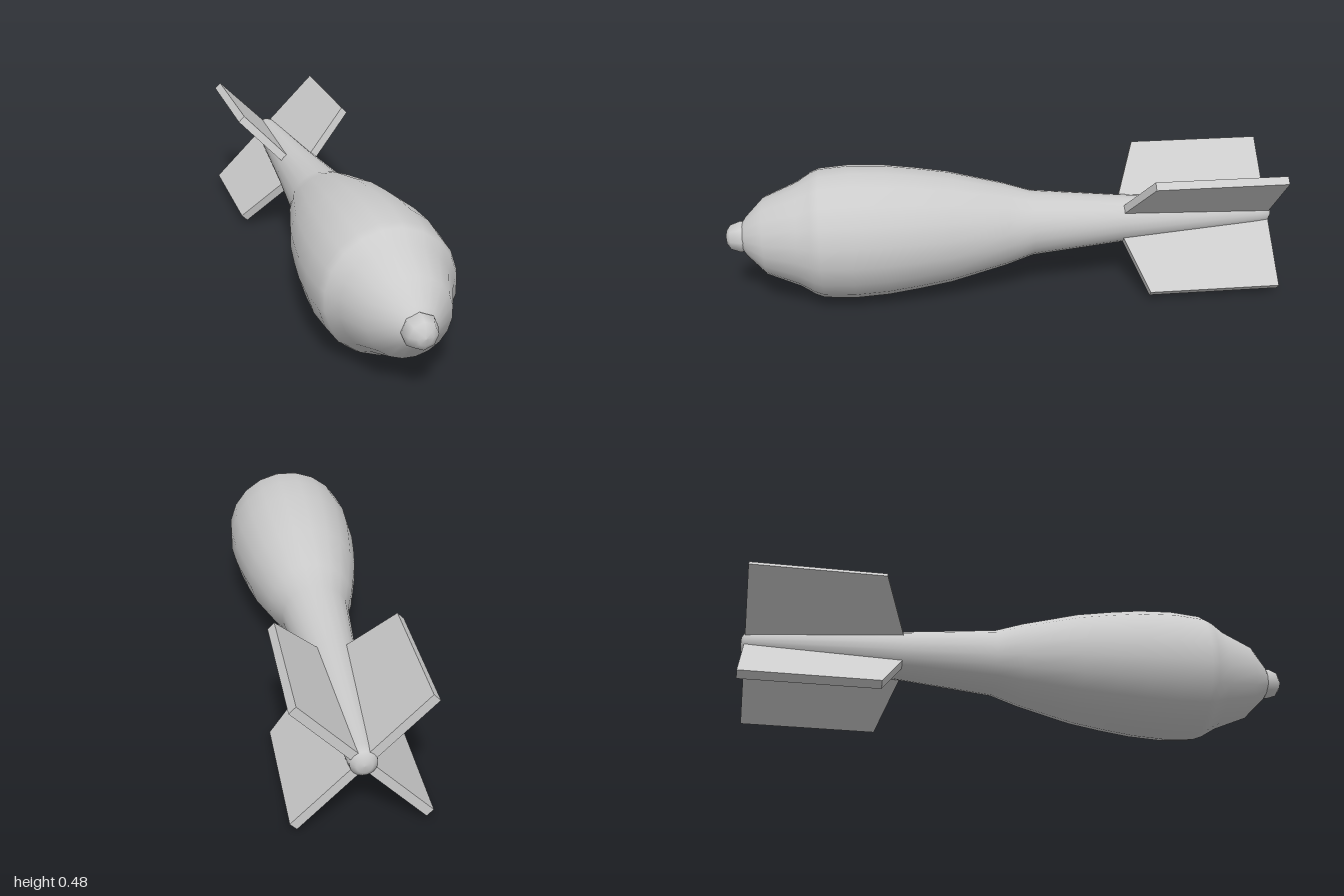
import * as THREE from 'three';

const AXIS_Y = 0.238;
const material = new THREE.MeshStandardMaterial({ color: 0xcccccc });

// Turned part along z from [z, radius] pairs listed back to front
function turned(name, profile, sides, phase) {
  const points = profile.map(([z, r]) => new THREE.Vector2(r, z));
  const geometry = new THREE.LatheGeometry(points, sides, phase).rotateX(Math.PI / 2);
  const mesh = new THREE.Mesh(geometry, material);
  mesh.name = name;
  return mesh;
}

export function createModel() {
  const model = new THREE.Group();
  model.name = 'finnedBomb';

  // Teardrop body tapering into the tail boom with a rounded end
  const body = turned('body', [
    [-1, 0], [-0.997, 0.025], [-0.985, 0.043], [-0.95, 0.047], [-0.43, 0.088], [-0.1, 0.12],
    [0, 0.152], [0.2, 0.202], [0.32, 0.221], [0.43, 0.235], [0.55, 0.241],
    [0.66, 0.233], [0.69, 0.221], [0.74, 0.189], [0.86, 0.139], [0.925, 0.072], [0.94, 0.05],
  ], 20, Math.PI / 20);

  // Small fuse at the tip
  const fuse = turned('noseFuse', [
    [0.91, 0.05], [0.945, 0.06], [0.98, 0.047], [0.995, 0.025], [1, 0],
  ], 8, 0);
  model.add(body, fuse);

  // Four tail fins with swept leading edges
  const thickness = 0.031;
  const outline = new THREE.Shape([
    [0, -0.985], [0.298, -0.985], [0.298, -0.508], [0.075, -0.43], [0, -0.43],
  ].map(([r, z]) => new THREE.Vector2(r, z)));
  const finGeometry = new THREE.ExtrudeGeometry(outline, { depth: thickness, bevelEnabled: false })
    .translate(0, 0, -thickness / 2)
    .rotateX(Math.PI / 2);
  for (let i = 0; i < 4; i++) {
    const fin = new THREE.Mesh(finGeometry, material);
    fin.name = `tailFin${i + 1}`;
    fin.rotation.z = Math.PI / 4 + (i * Math.PI) / 2;
    model.add(fin);
  }

  model.children.forEach((part) => { part.position.y = AXIS_Y; });
  return model;
}
